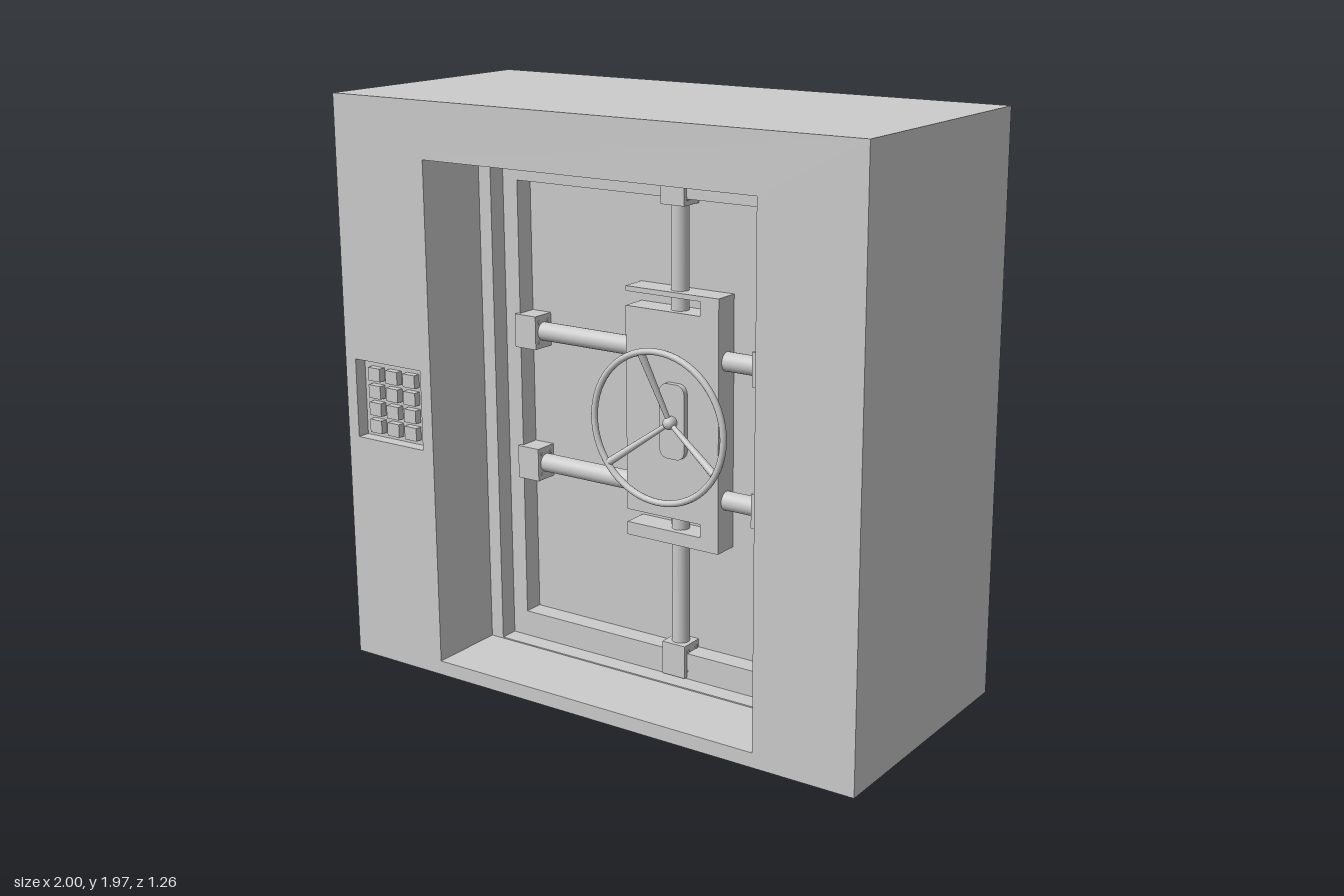
import * as THREE from 'three';

const grey = new THREE.MeshStandardMaterial({ color: 0xcccccc });

function add(parent, name, geometry, x = 0, y = 0, z = 0) {
  const mesh = new THREE.Mesh(geometry, grey);
  mesh.name = name;
  mesh.position.set(x, y, z);
  parent.add(mesh);
  return mesh;
}

// Rectangular rings [x0, x1, y0, y1, z] joined from front to back, closed at the last ring.
// With inward = true the faces look into the hollow.
function loft(rings, inward = false) {
  const corners = rings.map(([x0, x1, y0, y1, z]) => [[x0, y0, z], [x1, y0, z], [x1, y1, z], [x0, y1, z]]);
  const positions = [];
  const tri = (a, b, c) => positions.push(...a, ...(inward ? c : b), ...(inward ? b : c));
  for (let i = 0; i < corners.length - 1; i++) {
    const p = corners[i], q = corners[i + 1];
    for (let j = 0; j < 4; j++) {
      const k = (j + 1) % 4;
      tri(p[j], q[j], p[k]);
      tri(p[k], q[j], q[k]);
    }
  }
  const [a, b, c, d] = corners.at(-1);
  tri(a, d, c);
  tri(a, c, b);
  // inner steps face forward, so the cap of a hollow flips with the walls
  const geometry = new THREE.BufferGeometry();
  geometry.setAttribute('position', new THREE.Float32BufferAttribute(positions, 3));
  geometry.computeVertexNormals();
  return geometry;
}

function rectangle([x0, x1, y0, y1], Type = THREE.Shape) {
  return new Type([[x0, y0], [x1, y0], [x1, y1], [x0, y1]].map(p => new THREE.Vector2(...p)));
}

// Cylinder between two points, with a radius for each end
function rod(parent, name, from, to, r0, r1 = r0, sides = 24) {
  const a = new THREE.Vector3(...from), b = new THREE.Vector3(...to);
  const mesh = add(parent, name, new THREE.CylinderGeometry(r1, r0, a.distanceTo(b), sides));
  mesh.position.copy(a).lerp(b, 0.5);
  mesh.quaternion.setFromUnitVectors(new THREE.Vector3(0, 1, 0), b.sub(a).normalize());
  return mesh;
}

export function createModel() {
  const model = new THREE.Group();
  model.name = 'safe';

  // Cabinet: shell with a chamfered back, pierced front face
  const opening = [-0.62, 0.64, 0.05, 1.78];
  const keypadOpening = [-0.955, -0.665, 0.8, 1.075];
  add(model, 'cabinetShell', loft([
    [-1, 1, 0, 1.97, 0.63],
    [-1, 1, 0, 1.97, -0.28],
    [-0.65, 0.65, 0, 1.6, -0.63],
  ]));
  const face = rectangle([-1, 1, 0, 1.97]);
  face.holes.push(rectangle(opening, THREE.Path), rectangle(keypadOpening, THREE.Path));
  add(model, 'frontFace', new THREE.ShapeGeometry(face), 0, 0, 0.63);

  // Door: stepped recess down to the inner panel
  const middle = [-0.57, 0.565, 0.054, 1.774];
  const panel = [-0.51, 0.5, 0.145, 1.68];
  add(model, 'doorRecess', loft([
    [...opening, 0.63], [...opening, 0.355],
    [...middle, 0.355], [...middle, 0.29],
    [...panel, 0.29], [...panel, 0.22],
  ], true));

  // Keypad
  const keypad = new THREE.Group();
  keypad.name = 'keypad';
  model.add(keypad);
  add(keypad, 'keypadRecess', loft([[...keypadOpening, 0.63], [...keypadOpening, 0.585]], true));
  for (let row = 0; row < 4; row++) {
    for (let col = 0; col < 3; col++) {
      add(keypad, 'key', new THREE.BoxGeometry(0.052, 0.046, 0.025),
        -0.893 + col * 0.078, 1.024 - row * 0.061, 0.5975);
    }
  }

  // Locking bars with their end blocks
  const bars = new THREE.Group();
  bars.name = 'lockingBars';
  model.add(bars);
  const barZ = 0.26;
  const block = (x, y, w, h) => {
    add(bars, 'barBlock', new THREE.BoxGeometry(w, h, 0.09), x, y, barZ);
    for (const dy of [-0.035, 0.035]) {
      for (const dz of [-0.025, 0.025]) {
        rod(bars, 'screw', [x - w / 2 - 0.003, y + dy, barZ + dz],
          [x + w / 2 + 0.003, y + dy, barZ + dz], 0.007, 0.007, 8);
      }
    }
  };
  for (const y of [1.168, 0.702]) {
    rod(bars, 'horizontalBar', [-0.46, y, barZ], [0.46, y, barZ], 0.032);
    block(-0.477, y, 0.087, 0.115);
    block(0.47, y, 0.087, 0.115);
  }
  rod(bars, 'verticalBar', [0.126, 0.1, barZ], [0.126, 1.73, barZ], 0.03);
  block(0.126, 1.715, 0.09, 0.113);
  block(0.126, 0.117, 0.09, 0.115);

  // Lock housing: box with a slot under each end flange
  const outline = [
    [-0.055, 0.62], [-0.055, 1.315], [0.235, 1.315], [0.235, 1.363], [-0.055, 1.363], [-0.055, 1.38],
    [0.305, 1.38], [0.305, 0.53], [-0.055, 0.53], [-0.055, 0.575], [0.235, 0.575], [0.235, 0.62],
  ].map(p => new THREE.Vector2(...p));
  add(model, 'lockHousing', new THREE.ExtrudeGeometry(new THREE.Shape(outline),
    { depth: 0.095, bevelEnabled: false }), 0, 0, 0.215);

  // Rounded plate behind the wheel
  const w = 0.048, h = 0.126, r = 0.03;
  const plate = new THREE.Shape();
  plate.absarc(w - r, h - r, r, 0, Math.PI / 2);
  plate.absarc(r - w, h - r, r, Math.PI / 2, Math.PI);
  plate.absarc(r - w, r - h, r, Math.PI, Math.PI * 1.5);
  plate.absarc(w - r, r - h, r, Math.PI * 1.5, Math.PI * 2);
  add(model, 'wheelPlate', new THREE.ExtrudeGeometry(plate, { depth: 0.02, bevelEnabled: false }), 0.138, 0.957, 0.31);

  // Hand wheel: dished, with spokes running forward from hub to rim
  const wheel = new THREE.Group();
  wheel.name = 'handWheel';
  wheel.position.set(0.14, 0.957, 0);
  model.add(wheel);
  add(wheel, 'wheelRim', new THREE.TorusGeometry(0.25, 0.011, 12, 64), 0, 0, 0.412);
  rod(wheel, 'wheelShaft', [0, 0, 0.31], [0, 0, 0.345], 0.02);
  add(wheel, 'wheelHub', new THREE.SphereGeometry(0.022, 20, 12), 0, 0, 0.345);
  for (const degrees of [105, 217, 331]) {
    const a = THREE.MathUtils.degToRad(degrees);
    rod(wheel, 'wheelSpoke', [0, 0, 0.343],
      [0.245 * Math.cos(a), 0.245 * Math.sin(a), 0.41], 0.008, 0.013, 12);
  }

  return model;
}
